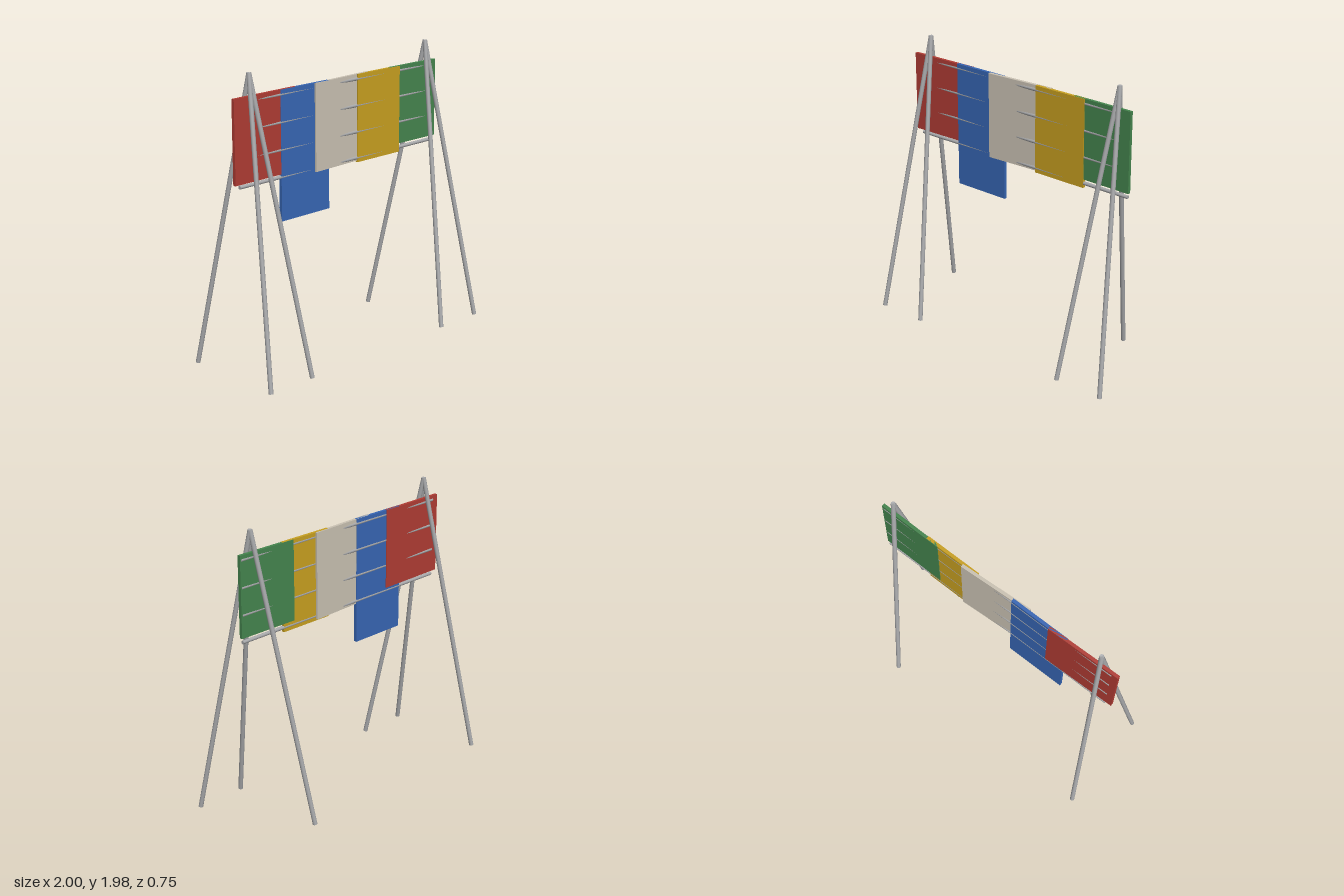
import * as THREE from 'three';

const mat = (name, color) => {
  const m = new THREE.MeshStandardMaterial({ color });
  m.name = name;
  return m;
};

export function createModel() {
  const group = new THREE.Group();
  const steel = mat('steel grey', 0xa6a7a9);
  const red = mat('red', 0xb03c34);
  const blue = mat('blue', 0x3766b4);
  const beige = mat('beige', 0xcac2b3);
  const yellow = mat('yellow', 0xc8a020);
  const green = mat('green', 0x45854e);

  // Round bar between two points
  const bar = (name, a, b, r) => {
    const dir = b.clone().sub(a);
    const mesh = new THREE.Mesh(new THREE.CylinderGeometry(r, r, dir.length(), 16), steel);
    mesh.name = name;
    mesh.position.copy(a).add(b).multiplyScalar(0.5);
    mesh.quaternion.setFromUnitVectors(new THREE.Vector3(0, 1, 0), dir.normalize());
    return mesh;
  };

  // Two identical tripods
  for (const cx of [-0.806, 0.806]) {
    const tripod = new THREE.Group();
    tripod.name = cx > 0 ? 'leftTripod' : 'rightTripod';
    const apex = new THREE.Vector3(cx, 1.975, 0);
    for (const [dx, z] of [[-0.179, -0.36], [-0.179, 0.36], [0.179, 0.36]]) {
      tripod.add(bar('leg', new THREE.Vector3(cx + dx, 0.003, z), apex, 0.0155));
    }
    group.add(tripod);
  }

  // Four horizontal rails between the tripods
  for (const y of [1.26, 1.44, 1.62, 1.8]) {
    group.add(bar('rail', new THREE.Vector3(-0.9, y, 0), new THREE.Vector3(0.893, y, 0), 0.012));
  }

  // Overlapping panels, each turned slightly: x0, x1, bottom, z at x0, z at x1
  const panels = [
    ['redPanel', red, -0.945, -0.42, 1.28, 0.004, -0.004],
    ['bluePanel', blue, -0.555, -0.132, 0.965, 0, 0.0015],
    ['beigePanel', beige, -0.26, 0.255, 1.24, 0.012, -0.013],
    ['yellowPanel', yellow, 0.137, 0.542, 1.23, 0, 0.0015],
    ['greenPanel', green, 0.452, 0.903, 1.288, -0.003, 0.002],
  ];
  const top = 1.832;
  for (const [name, m, x0, x1, bottom, z0, z1] of panels) {
    const mesh = new THREE.Mesh(new THREE.BoxGeometry(x1 - x0, top - bottom, 0.022), m);
    mesh.name = name;
    mesh.position.set((x0 + x1) / 2, (top + bottom) / 2, (z0 + z1) / 2);
    mesh.rotation.y = -Math.atan2(z1 - z0, x1 - x0);
    group.add(mesh);
  }
  return group;
}
